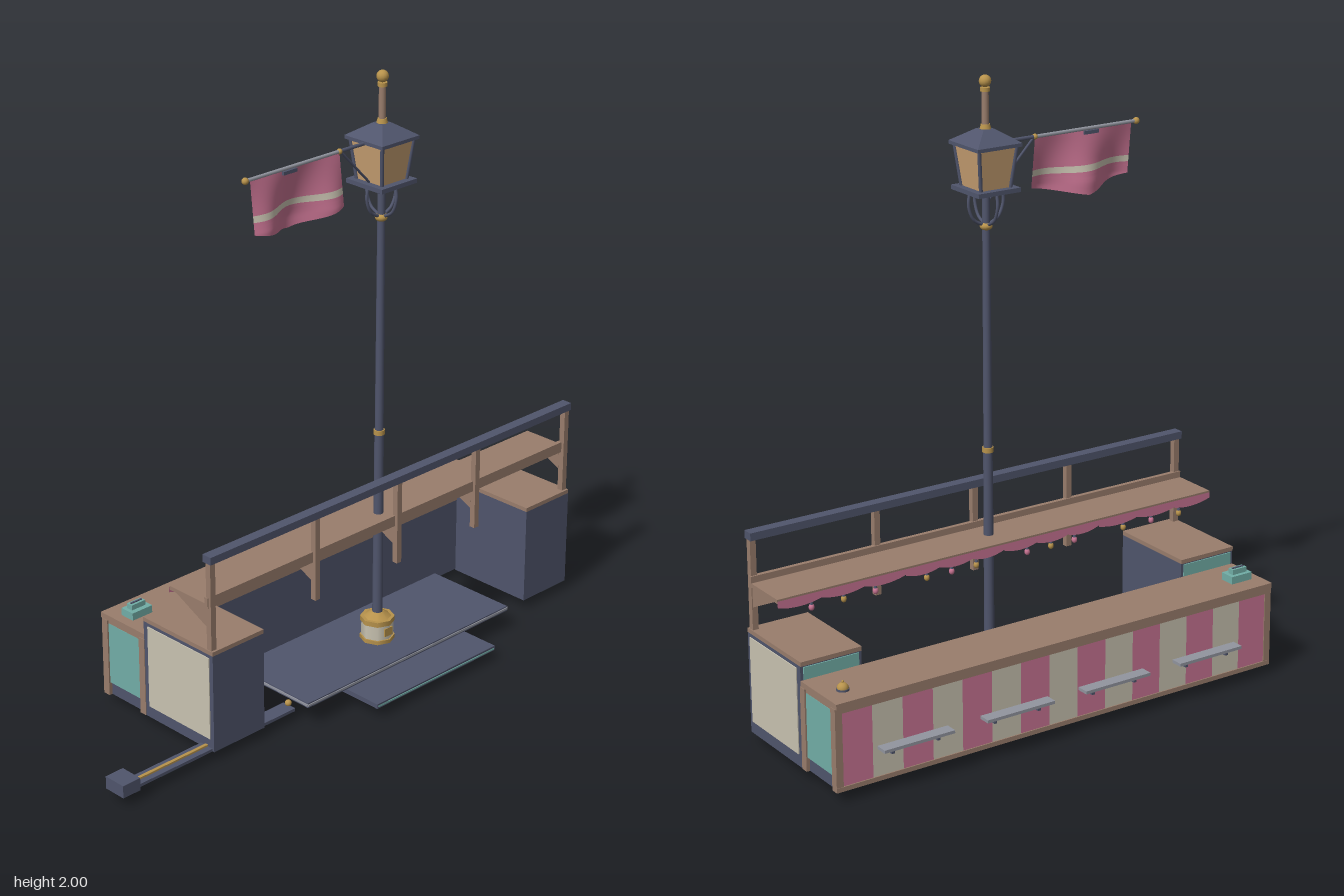
import * as THREE from 'three';

const mat = (name, color, side = THREE.FrontSide) => {
  const m = new THREE.MeshStandardMaterial({ color, side });
  m.name = name;
  return m;
};

export function createModel() {
  const root = new THREE.Group();
  root.name = 'marketStall';
  const navy = mat('navy', 0x50556c), brown = mat('wood', 0x997d6c), cream = mat('cream', 0xc9c3b1);
  const teal = mat('teal', 0x72aea7), pink = mat('pink', 0xc97493, THREE.DoubleSide);
  const gold = mat('brass', 0xb8934c), amber = mat('amberGlass', 0xc9a173), steel = mat('steel', 0x92959f);
  const creamCloth = mat('creamCloth', 0xcfc8b6, THREE.DoubleSide);

  const add = (name, geo, material, x = 0, y = 0, z = 0, parent = root) => {
    const m = new THREE.Mesh(geo, material);
    m.name = name;
    m.position.set(x, y, z);
    parent.add(m);
    return m;
  };
  // box given by its two corners
  const box = (name, material, x0, x1, y0, y1, z0, z1) =>
    add(name, new THREE.BoxGeometry(x1 - x0, y1 - y0, z1 - z0), material, (x0 + x1) / 2, (y0 + y1) / 2, (z0 + z1) / 2);
  // upright cylinder from y0 to y1
  const post = (name, material, r0, r1, y0, y1, x, z, n = 16) =>
    add(name, new THREE.CylinderGeometry(r1, r0, y1 - y0, n), material, x, (y0 + y1) / 2, z);
  const tube = (name, material, pts, r, seg = 1) => {
    const v = pts.map(p => new THREE.Vector3(...p));
    const curve = seg === 1 ? new THREE.LineCurve3(v[0], v[1]) : new THREE.CatmullRomCurve3(v);
    return add(name, new THREE.TubeGeometry(curve, seg, r, 8), material);
  };
  const ball = (name, material, r, x, y, z) => add(name, new THREE.SphereGeometry(r, 14, 10), material, x, y, z);

  const X0 = -0.63, X1 = 0.99, CX = 0.18;

  // serving counter
  box('counterBody', navy, X0 + 0.01, X1 - 0.01, 0.035, 0.3, -0.315, -0.13);
  box('counterTop', brown, X0, X1, 0.302, 0.32, -0.33, -0.125);
  box('counterBackSill', brown, X0, X1, 0.035, 0.05, -0.325, -0.315);
  box('counterBackRail', brown, X0, X1, 0.285, 0.302, -0.325, -0.315);
  for (const s of [-1, 1]) {
    const xe = CX + s * 0.8;
    for (const z of [-0.31, -0.135]) box('counterCornerPost', brown, xe - 0.012, xe + 0.012, 0.035, 0.302, z - 0.014, z + 0.012);
    const xp = CX + s * 0.803;
    box('counterEndPanel', teal, xp - 0.004, xp + 0.004, 0.08, 0.29, -0.298, -0.147);
    box('counterEndTopRail', brown, xp - 0.003, xp + 0.003, 0.29, 0.302, -0.3, -0.14);
  }

  // striped back of the counter
  const panels = 15, pw = 1.58 / panels;
  for (let i = 0; i < panels; i++) {
    const x = -0.61 + i * pw;
    box('stripePanel', i % 2 ? cream : pink, x, x + pw, 0.05, 0.285, -0.321, -0.314);
  }

  // four little customer shelves on brackets
  for (let i = 0; i < 4; i++) {
    const x = -0.363 + i * 0.363;
    box('customerShelf', steel, x - 0.123, x + 0.123, 0.138, 0.148, -0.362, -0.321);
    for (const s of [-1, 1]) box('shelfBracket', navy, x + s * 0.08 - 0.005, x + s * 0.08 + 0.005, 0.118, 0.138, -0.34, -0.321);
  }

  // side cabinets
  for (const s of [-1, 1]) {
    const outer = CX + s * 0.81, inner = CX + s * 0.6;
    const a = Math.min(outer, inner), b = Math.max(outer, inner);
    box('cabinet', navy, a, b, 0.035, 0.366, -0.125, 0.19);
    box('cabinetTop', brown, a, b, 0.366, 0.38, -0.128, 0.19);
    box('cabinetSidePanel', cream, outer - 0.003, outer + 0.003, 0.075, 0.355, -0.105, 0.175);
    box('cabinetBackPanel', teal, a + 0.01, b - 0.01, 0.322, 0.362, -0.129, -0.124);
  }

  // posts, top rail and overhead shelf
  const postX = [-0.617, -0.182, CX, 0.542, 0.977];
  box('topRail', navy, X0, X1, 0.672, 0.697, 0.152, 0.188);
  box('shelfBeam', brown, X0, X1, 0.52, 0.556, 0.157, 0.172);
  box('overheadShelf', brown, X0, X1, 0.522, 0.535, 0, 0.16);
  const gusset = new THREE.ExtrudeGeometry(
    new THREE.Shape([[-0.16, 0.525], [-0.16, 0.455], [-0.012, 0.525]].map(p => new THREE.Vector2(...p))),
    { depth: 0.016, bevelEnabled: false });
  gusset.rotateY(Math.PI / 2).translate(-0.008, 0, 0);
  postX.forEach((x, i) => {
    const end = i === 0 || i === 4;
    box('railPost', brown, x - 0.01, x + 0.01, end ? 0.38 : 0.39, 0.672, 0.162, 0.182);
    add('shelfGusset', gusset, brown, x);
  });

  // scalloped valance and hanging bulbs, one set per bay
  for (let i = 0; i < 4; i++) {
    const a = i === 0 ? X0 : postX[i], b = i === 3 ? X1 : postX[i + 1], n = 3, w = (b - a) / n;
    const sh = new THREE.Shape();
    sh.moveTo(a, 0.53);
    sh.lineTo(a, 0.512);
    for (let k = 0; k < n; k++) sh.quadraticCurveTo(a + (k + 0.5) * w, 0.488, a + (k + 1) * w, 0.508);
    sh.lineTo(b, 0.53);
    add('valance', new THREE.ShapeGeometry(sh, 8), pink, 0, 0, -0.002);
    const mid = [-0.395, 0, 0.373, 0.76][i], gap = i % 3 ? 0.091 : 0.112;
    for (let k = -1; k <= 1; k++) {
      const x = mid + k * gap;
      tube('bulbCord', navy, [[x, 0.525, 0.004], [x, 0.495, 0.004]], 0.002);
      post('bulbCap', navy, 0.006, 0.004, 0.49, 0.499, x, 0.004, 8);
      ball('bulb', (i + k) % 2 ? gold : pink, 0.009, x, 0.483, 0.004).scale.y = 1.25;
    }
  }

  // raised platform with pale trim, step and foot
  box('platform', navy, -0.28, 0.64, 0.068, 0.085, -0.09, 0.24);
  box('platformSupport', navy, -0.24, 0.6, 0.04, 0.068, -0.06, 0.19);
  for (const z of [-0.091, 0.241]) box('platformTrim', steel, -0.28, 0.64, 0.074, 0.081, z - 0.002, z + 0.002);
  for (const x of [-0.281, 0.641]) box('platformTrim', steel, x - 0.002, x + 0.002, 0.074, 0.081, -0.09, 0.24);
  box('step', navy, -0.09, 0.455, 0.036, 0.052, 0.19, 0.355);
  box('stepEdge', teal, -0.085, 0.45, 0.041, 0.046, 0.352, 0.357);
  box('footPlate', navy, 0.065, 0.295, 0, 0.042, 0.08, 0.1);

  // cable channel leading to the power box
  box('cableChannel', navy, -0.94, -0.28, 0.034, 0.044, 0.13, 0.182);
  box('cable', gold, -0.935, X0, 0.044, 0.05, 0.151, 0.162);
  box('powerBox', navy, -1, -0.933, 0.035, 0.077, 0.118, 0.197);
  ball('cablePlug', gold, 0.011, -0.285, 0.055, 0.156);

  // till and service bell
  box('till', teal, -0.597, -0.517, 0.32, 0.345, -0.268, -0.215);
  box('tillScreen', teal, -0.585, -0.53, 0.345, 0.362, -0.255, -0.232);
  box('tillSlot', navy, -0.58, -0.535, 0.361, 0.365, -0.247, -0.241);
  post('bellBase', navy, 0.02, 0.02, 0.32, 0.326, 0.92, -0.25);
  add('bell', new THREE.SphereGeometry(0.018, 16, 8, 0, Math.PI * 2, 0, Math.PI / 2), gold, 0.92, 0.326, -0.25);
  ball('bellButton', gold, 0.004, 0.92, 0.347, -0.25);

  // lamp post
  const LZ = 0.088;
  post('lampFootBand', gold, 0.057, 0.057, 0.085, 0.098, CX, LZ, 8);
  post('lampFoot', cream, 0.052, 0.052, 0.098, 0.155, CX, LZ, 8);
  post('lampFootBand', gold, 0.056, 0.056, 0.148, 0.165, CX, LZ, 8);
  post('lampFootCap', gold, 0.045, 0.02, 0.165, 0.182, CX, LZ, 8);
  box('lampFootPlate', gold, CX - 0.017, CX + 0.017, 0.11, 0.138, LZ + 0.047, LZ + 0.052);
  post('lampPoleLower', navy, 0.017, 0.015, 0.17, 0.82, CX, LZ);
  post('lampPoleUpper', navy, 0.014, 0.012, 0.82, 1.65, CX, LZ);
  post('poleCollar', gold, 0.018, 0.018, 0.81, 0.826, CX, LZ);
  ball('poleKnuckle', gold, 0.02, CX, 1.535, LZ).scale.y = 0.7;

  // lantern arms
  for (let i = 0; i < 4; i++) {
    const c = Math.cos(i * Math.PI / 2), s = Math.sin(i * Math.PI / 2);
    const pts = [[0.012, 1.54], [0.045, 1.56], [0.063, 1.605], [0.058, 1.65]];
    tube('lanternArm', navy, pts.map(([r, y]) => [CX + c * r, y, LZ + s * r]), 0.005, 12);
  }

  // lantern: four-sided tapered glass, corner bars and roof
  const foursided = (name, material, h0, h1, y0, y1) => {
    const g = new THREE.CylinderGeometry(h1 * Math.SQRT2, h0 * Math.SQRT2, y1 - y0, 4, 1).toNonIndexed();
    g.rotateY(Math.PI / 4);
    g.computeVertexNormals();
    return add(name, g, material, CX, (y0 + y1) / 2, LZ);
  };
  foursided('lanternFloor', navy, 0.076, 0.076, 1.645, 1.659);
  foursided('lanternGlass', amber, 0.053, 0.068, 1.659, 1.785);
  foursided('lanternEave', navy, 0.08, 0.08, 1.785, 1.796);
  foursided('lanternRoof', navy, 0.08, 0.02, 1.796, 1.836);
  for (const sx of [-1, 1]) for (const sz of [-1, 1])
    tube('lanternCornerBar', navy, [[CX + sx * 0.053, 1.655, LZ + sz * 0.053], [CX + sx * 0.068, 1.79, LZ + sz * 0.068]], 0.006);
  post('finialCollar', gold, 0.018, 0.014, 1.834, 1.85, CX, LZ);
  post('finialStem', brown, 0.011, 0.011, 1.85, 1.955, CX, LZ);
  post('finialCollar', gold, 0.015, 0.015, 1.95, 1.962, CX, LZ);
  ball('finialBall', gold, 0.019, CX, 1.981, LZ);

  // flag rod, brace and clip
  tube('flagRod', steel, [[-0.38, 1.787, LZ], [0.0, 1.787, LZ]], 0.006);
  tube('flagRodArm', navy, [[0, 1.787, LZ], [0.12, 1.787, LZ]], 0.006);
  tube('flagBrace', navy, [[0.005, 1.785, LZ], [0.17, 1.615, LZ]], 0.004);
  ball('flagRodTip', gold, 0.011, -0.382, 1.787, LZ);
  ball('flagRodJoint', gold, 0.009, 0, 1.787, LZ);
  box('flagClip', navy, -0.235, -0.18, 1.77, 1.781, LZ - 0.008, LZ + 0.008);

  // waving pennant with a pointed hem, in horizontal bands
  const flagBand = (name, material, v0, v1) => {
    const g = new THREE.PlaneGeometry(1, 1, 32, 6), p = g.attributes.position;
    for (let i = 0; i < p.count; i++) {
      const u = p.getX(i) + 0.5, v = v0 + (v1 - v0) * (0.5 - p.getY(i));
      const hem = 0.163 + 0.035 * (1 - Math.abs(2 * u - 1));
      const drop = v <= 2 ? v * 0.0675 : 0.135 + (v - 2) * (hem - 0.135);
      const wave = 0.032 * Math.cos((u - 0.12) * Math.PI * 2.6) * Math.min(1, drop / 0.16);
      p.setXYZ(i, -0.363 + 0.363 * u, 1.783 - drop, LZ + wave);
    }
    g.computeVertexNormals();
    add(name, g, material);
  };
  flagBand('flagUpper', pink, 0, 1.56);
  flagBand('flagStripe', creamCloth, 1.56, 1.86);
  flagBand('flagMiddle', pink, 1.86, 2);
  flagBand('flagHem', pink, 2, 3);

  return root;
}
